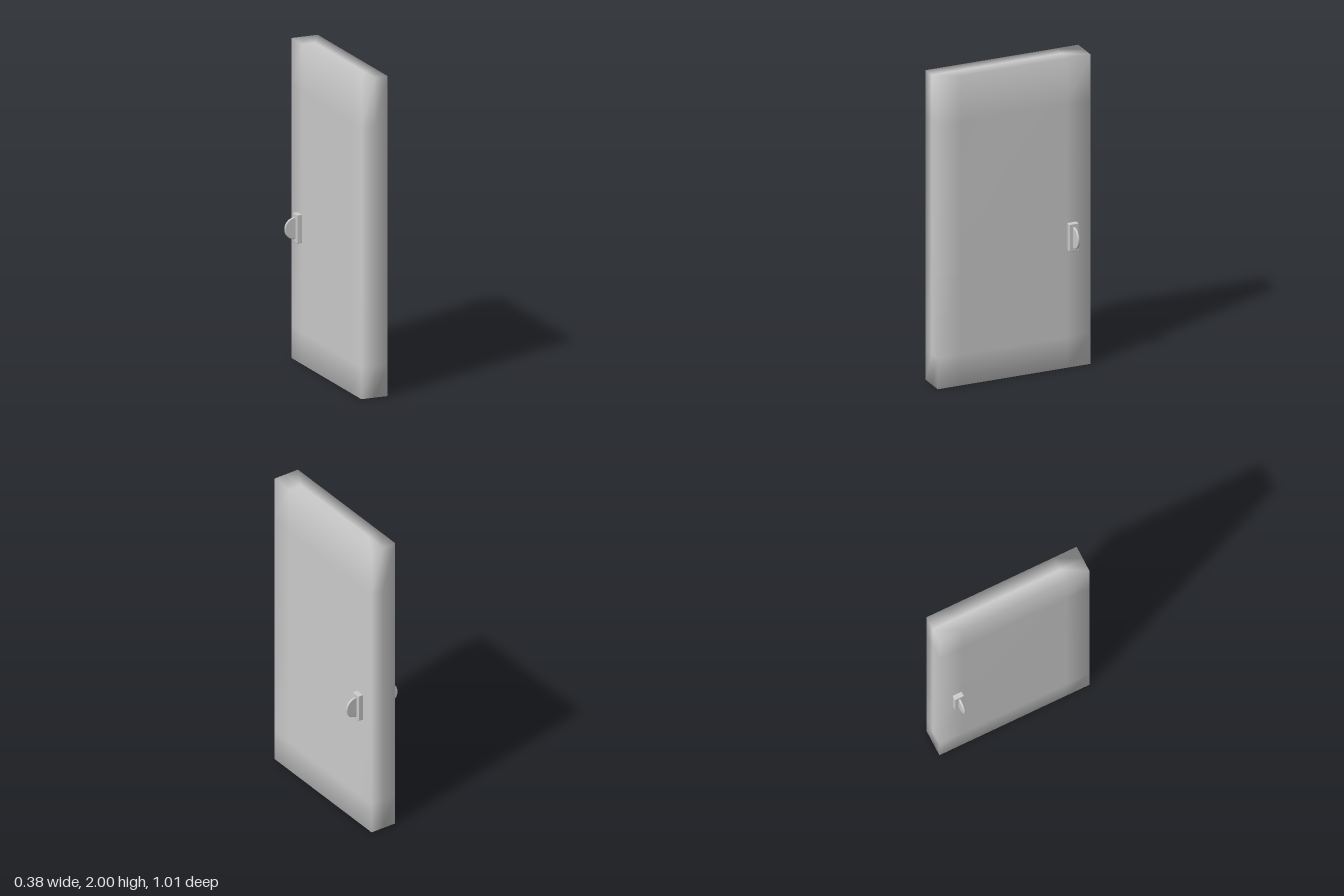
import * as THREE from 'three';
import { mergeVertices } from 'three/addons/utils/BufferGeometryUtils.js';
import { RoundedBoxGeometry } from 'three/addons/geometries/RoundedBoxGeometry.js';

const material = new THREE.MeshStandardMaterial({ color: 0xcccccc });

// Weld all corners so the shading flows softly over the edges
function soften(geometry) {
  geometry.deleteAttribute('normal');
  geometry.deleteAttribute('uv');
  const welded = mergeVertices(geometry, 1e-4);
  welded.computeVertexNormals();
  return welded;
}

function addMesh(parent, name, geometry) {
  const mesh = new THREE.Mesh(geometry, material);
  mesh.name = name;
  parent.add(mesh);
  return mesh;
}

// Slab with edge loops near its borders and faintly bulging broad faces
function slabGeometry() {
  const ys = [0, 0.2, 0.75, 1.3, 1.7, 2];
  const zs = [-0.505, -0.35, -0.15, 0.15, 0.35, 0.505];
  const geometry = new THREE.BoxGeometry(2, 5, 5, 2, 5, 5);
  const p = geometry.attributes.position;
  for (let i = 0; i < p.count; i++) {
    const row = Math.round(p.getY(i) + 2.5);
    const col = Math.round(p.getZ(i) + 2.5);
    const bulge = row === 3 && (col === 2 || col === 3) ? 0.004 : 0;
    p.setXYZ(i, p.getX(i) * (0.087 + bulge), ys[row], zs[col]);
  }
  return soften(geometry);
}

// Half-oval thumb turn lying in the x-y plane
function turnGeometry() {
  const shape = new THREE.Shape();
  shape.moveTo(0, -0.063);
  shape.lineTo(0.02, -0.063);
  shape.absellipse(0.02, 0, 0.061, 0.063, -Math.PI / 2, Math.PI / 2, false);
  shape.lineTo(0, 0.063);
  shape.closePath();
  const geometry = new THREE.ExtrudeGeometry(shape, {
    depth: 0.006, bevelThickness: 0.004, bevelSize: 0.005, bevelSegments: 2, curveSegments: 20,
  });
  geometry.translate(0, 0, -0.003);
  return soften(geometry);
}

export function createModel() {
  const door = new THREE.Group();
  door.name = 'door';
  addMesh(door, 'slab', slabGeometry());

  // The same handle on both broad faces
  const plate = new RoundedBoxGeometry(0.036, 0.178, 0.062, 2, 0.004);
  const turn = turnGeometry();
  for (const side of [1, -1]) {
    const handle = new THREE.Group();
    handle.name = side > 0 ? 'leftHandle' : 'rightHandle';
    addMesh(handle, 'plate', plate).position.x = 0.1;
    addMesh(handle, 'thumbTurn', turn).position.x = 0.102;
    handle.position.set(0, 0.846, -0.384);
    if (side < 0) handle.rotation.y = Math.PI;
    door.add(handle);
  }
  return door;
}
